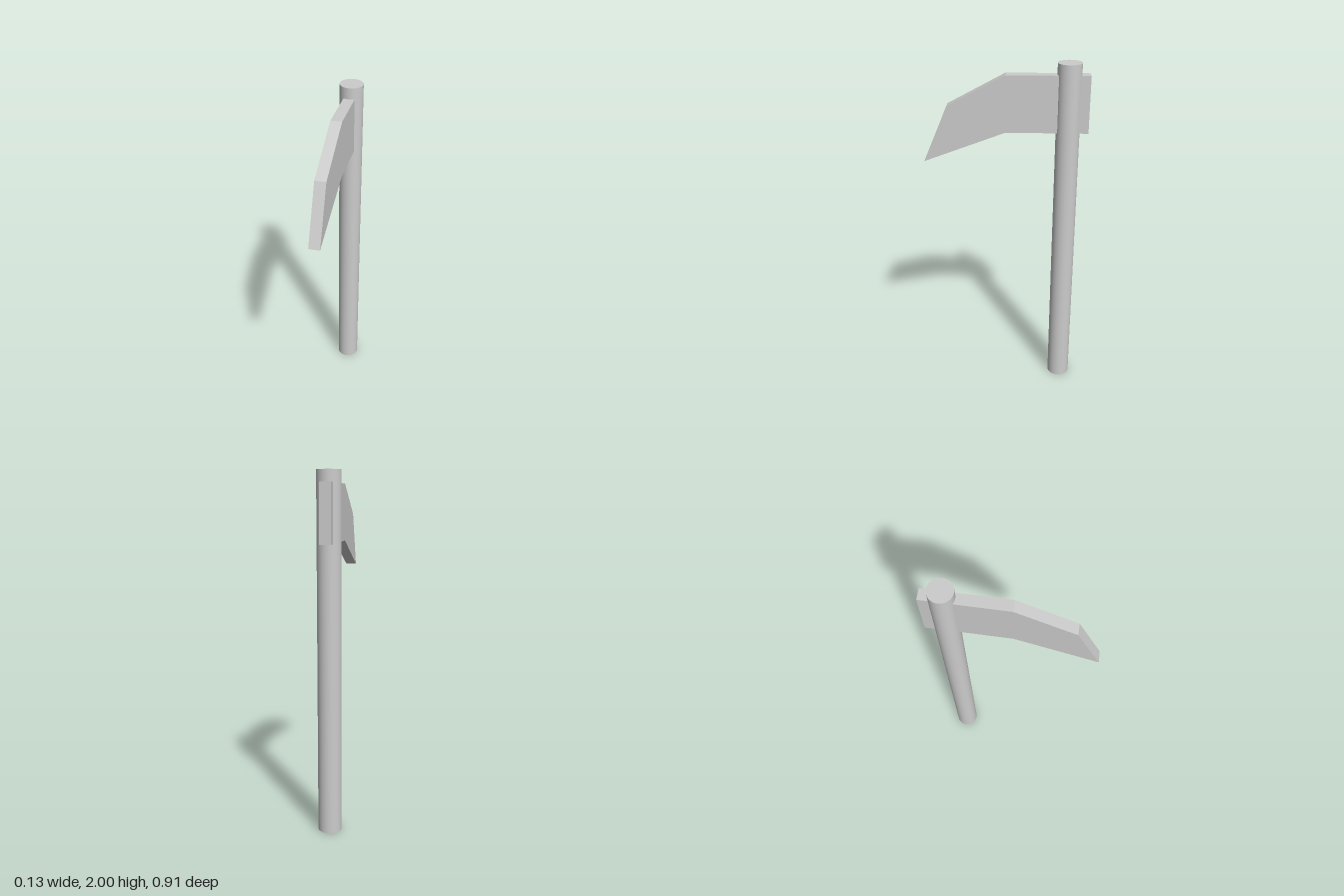
import * as THREE from 'three';

export function createModel() {
  const group = new THREE.Group();
  const material = new THREE.MeshStandardMaterial({ color: 0xcccccc });

  // Round upright handle, set towards the back
  const handle = new THREE.Mesh(new THREE.CylinderGeometry(0.066, 0.066, 2, 64), material);
  handle.name = 'handle';
  handle.position.set(0, 1, -0.343);
  group.add(handle);

  // Flat blade through the handle: side profile as (z, y), extruded across x
  const profile = [
    [-0.456, 1.62], [0, 1.62], [0.456, 1.447],
    [0.32, 1.765], [0, 1.937], [-0.456, 1.937],
  ].map(([z, y]) => new THREE.Vector2(z, y));
  const thickness = 0.062;
  const bladeGeometry = new THREE.ExtrudeGeometry(new THREE.Shape(profile), {
    depth: thickness,
    bevelEnabled: false,
  });
  bladeGeometry.translate(0, 0, -thickness / 2);
  bladeGeometry.rotateY(-Math.PI / 2);
  const blade = new THREE.Mesh(bladeGeometry, material);
  blade.name = 'blade';
  group.add(blade);

  return group;
}
